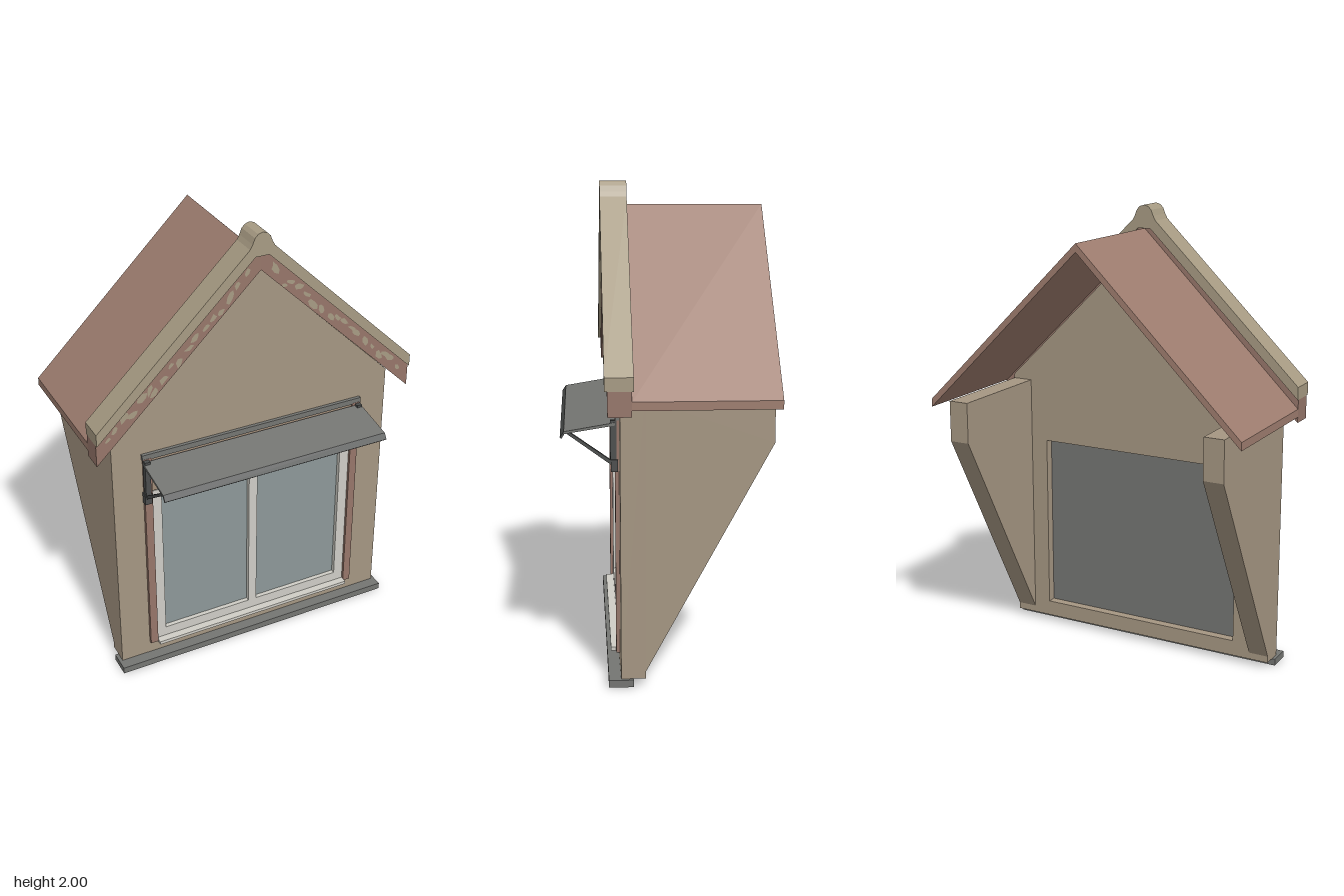
import * as THREE from 'three';

const mat = (name, color) => {
  const m = new THREE.MeshStandardMaterial({ color });
  m.name = name;
  return m;
};

export function createModel() {
  const model = new THREE.Group();
  model.name = 'dormer';

  const render = mat('tan render', 0xa59682);
  const stone = mat('coping stone', 0xa79b83);
  const tile = mat('roof tile', 0x9e7d6f);
  const brick = mat('red brick', 0x96766a);
  const white = mat('window white', 0xcfcdc6);
  const glass = mat('glass', 0x8d9899);
  const metal = mat('grey metal', 0x747572);
  const dark = mat('dark metal', 0x4c4e4d);
  const lintelTan = mat('lintel tan', 0xa08c78);

  const add = (name, geometry, material, parent = model) => {
    const mesh = new THREE.Mesh(geometry, material);
    mesh.name = name;
    parent.add(mesh);
    return mesh;
  };
  // Box given by its limits on each axis
  const box = (name, material, x0, x1, y0, y1, z0, z1, parent) => {
    const mesh = add(name, new THREE.BoxGeometry(x1 - x0, y1 - y0, z1 - z0), material, parent);
    mesh.position.set((x0 + x1) / 2, (y0 + y1) / 2, (z0 + z1) / 2);
    return mesh;
  };
  const shapeOf = pts => new THREE.Shape(pts.map(p => new THREE.Vector2(...p)));
  // Front outline (x, y) pushed from z0 to z1
  const slab = (name, material, shape, z0, z1) => {
    const g = new THREE.ExtrudeGeometry(shape, { depth: z1 - z0, bevelEnabled: false });
    g.translate(0, 0, z0);
    return add(name, g, material);
  };
  // Side outline (z, y) pushed from x0 to x1
  const sideSlab = (name, material, pts, x0, x1, parent) => {
    const g = new THREE.ExtrudeGeometry(shapeOf(pts), { depth: x1 - x0, bevelEnabled: false });
    g.rotateY(-Math.PI / 2).translate(x1, 0, 0);
    return add(name, g, material, parent);
  };
  // Half outline from ridge to ridge, mirrored to a full gable outline
  const mirrored = half => shapeOf([
    ...half, ...half.filter(p => p[0] > 0).reverse().map(([x, y]) => [-x, y])]);
  const gable = (outer, inner) => shapeOf([
    ...outer, ...inner.slice().reverse(),
    ...inner.slice(1).map(([x, y]) => [-x, y]),
    ...outer.slice().reverse().filter(p => p[0] > 0).map(([x, y]) => [-x, y])]);

  // Gable wall with the window opening
  const wall = mirrored([[0.65, 0.03], [0.65, 1.2], [0, 1.835]]);
  wall.holes.push(new THREE.Path([[-0.48, 0.1], [-0.48, 0.9], [0.48, 0.9], [0.48, 0.1]]
    .map(p => new THREE.Vector2(...p))));
  slab('gableWall', render, wall, 0.1, 0.2);

  // Tapered side cheeks
  const cheek = [[0.1, 0.03], [0.1, 0.06], [-0.41, 1], [-0.41, 1.18], [0.1, 1.18]];
  sideSlab('leftCheek', render, cheek, 0.56, 0.65);
  sideSlab('rightCheek', render, cheek, -0.65, -0.56);

  // Roof slopes, verge bricks and coping with a rounded ridge
  slab('roof', tile, gable([[0, 1.9], [0.73, 1.185]], [[0, 1.865], [0.73, 1.15]]), -0.43, 0.155);
  slab('vergeBricks', brick,
    gable([[0, 1.9], [0.03, 1.9], [0.73, 1.225]], [[0, 1.835], [0.73, 1.125]]), 0.155, 0.25);
  slab('coping', stone, gable(
    [[0, 2], [0.02, 1.994], [0.034, 1.98], [0.044, 1.955], [0.055, 1.935], [0.73, 1.28]],
    [[0, 1.9], [0.03, 1.9], [0.73, 1.225]]), 0.148, 0.262);

  // Mortar patches scattered along the verge
  let seed = 7;
  const rnd = () => (seed = (seed * 16807) % 2147483647) / 2147483647;
  for (const side of [-1, 1]) {
    for (let i = 0; i < 18; i++) {
      const x = 0.06 + i * 0.036 + rnd() * 0.015;
      const y = 1.875 - x * 0.96 + (rnd() - 0.5) * 0.05;
      const r = 0.011 + rnd() * 0.008;
      const pts = [];
      for (let k = 0; k < 7; k++) {
        const a = k / 7 * Math.PI * 2, q = r * (0.6 + rnd() * 0.7);
        pts.push([Math.cos(a) * q * 1.5, Math.sin(a) * q * 0.75]);
      }
      const patch = add('mortarPatch', new THREE.ShapeGeometry(shapeOf(pts)), stone);
      patch.position.set(side * x, y, 0.252);
      patch.rotation.z = -side * (0.4 + rnd() * 0.9);
    }
  }

  // Base ledge
  box('baseLedge', metal, -0.665, 0.665, 0, 0.03, 0.15, 0.25);

  // Window: frame, mullion, panes, back panel and sill
  const frame = shapeOf([[-0.48, 0.1], [0.48, 0.1], [0.48, 0.9], [-0.48, 0.9]]);
  for (const s of [-1, 1]) {
    const a = s * 0.02, b = s * 0.435;
    frame.holes.push(new THREE.Path([[a, 0.145], [b, 0.145], [b, 0.86], [a, 0.86]]
      .map(p => new THREE.Vector2(...p))));
    box('pane', glass, Math.min(a, b), Math.max(a, b), 0.145, 0.86, 0.175, 0.183);
  }
  slab('windowFrame', white, frame, 0.16, 0.203);
  box('windowBack', metal, -0.48, 0.48, 0.1, 0.9, 0.14, 0.16);
  box('windowSill', white, -0.48, 0.48, 0.085, 0.1, 0.2, 0.237);
  box('lintel', lintelTan, -0.48, 0.48, 0.905, 1.065, 0.2, 0.206);
  for (const s of [-1, 1])
    box('brickJamb', brick, s * 0.4975 - 0.0175, s * 0.4975 + 0.0175, 0.09, 1.075, 0.2, 0.216);

  // Awning: wall rail, sloping panel with a drooped lip, brackets and braces
  const awning = new THREE.Group();
  awning.name = 'awning';
  model.add(awning);
  box('awningRail', metal, -0.52, 0.52, 1.07, 1.095, 0.2, 0.215, awning);
  sideSlab('awningPanel', metal,
    [[0.215, 1.05], [0.42, 1.018], [0.42, 1.028], [0.215, 1.062]], -0.52, 0.52, awning);
  sideSlab('awningLip', dark,
    [[0.42, 1.028], [0.418, 1.016], [0.43, 0.998], [0.436, 1.004]], -0.52, 0.52, awning);
  for (const s of [-1, 1]) {
    const x = s * 0.505;
    box('bracketPlate', dark, x - 0.012, x + 0.012, 0.9, 1.07, 0.21, 0.235, awning);
    box('bracketFoot', dark, x - 0.016, x + 0.016, 0.86, 0.91, 0.205, 0.232, awning);
    sideSlab('brace', dark,
      [[0.228, 0.885], [0.228, 0.903], [0.395, 1.022], [0.412, 1.02]], x - 0.009, x + 0.009, awning);
  }
  return model;
}
